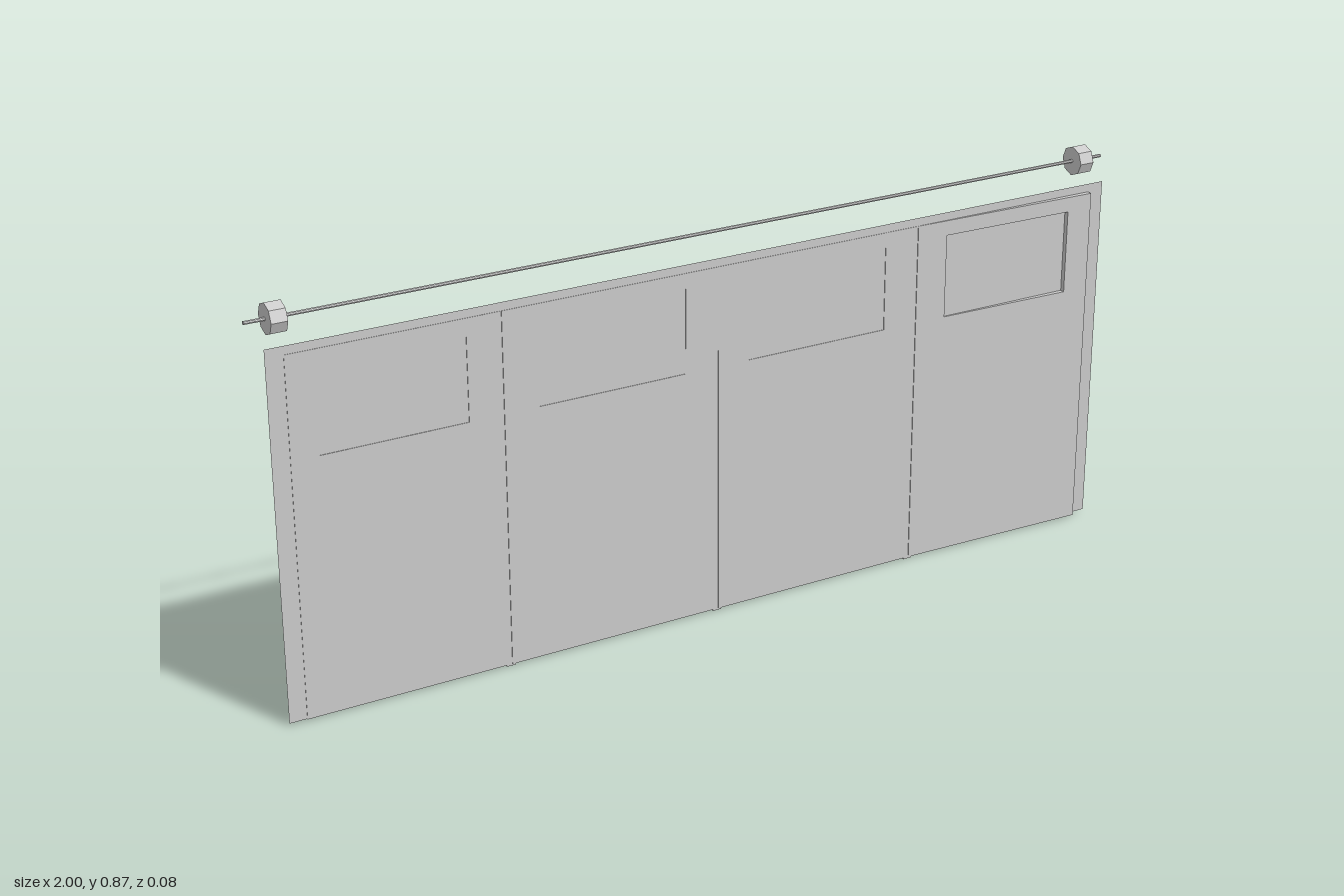
import * as THREE from 'three';

const mat = new THREE.MeshStandardMaterial({ color: 0xcccccc, flatShading: true, side: THREE.DoubleSide });
const BACK = 0.028, FRONT = 0.031, SWING = 0.011;
const TOP = 0.778, BOTTOM = 0.004, EDGE = 0.94;

function add(parent, name, geometry, x = 0, y = 0, z = 0) {
  const mesh = new THREE.Mesh(geometry, mat);
  mesh.name = name;
  mesh.position.set(x, y, z);
  parent.add(mesh);
  return mesh;
}

// box given by its limits
function slab(parent, name, x0, x1, y0, y1, z0, z1) {
  return add(parent, name, new THREE.BoxGeometry(x1 - x0, y1 - y0, z1 - z0),
    (x0 + x1) / 2, (y0 + y1) / 2, (z0 + z1) / 2);
}

function trace(path, x0, y0, x1, y1) {
  path.moveTo(x0, y0);
  path.lineTo(x1, y0);
  path.lineTo(x1, y1);
  path.lineTo(x0, y1);
  path.closePath();
  return path;
}

// rectangle with a rectangular opening
function ring(outer, inner) {
  const shape = trace(new THREE.Shape(), ...outer);
  shape.holes.push(trace(new THREE.Path(), ...inner));
  return shape;
}

export function createModel() {
  const root = new THREE.Group();
  root.name = 'sectionalDoor';

  // paper-thin surround
  add(root, 'surround', new THREE.ShapeGeometry(
    ring([-0.978, 0.005, 0.978, 0.796], [-EDGE, 0.006, EDGE, TOP])), 0, 0, 0.03);

  // four door panels with window openings; the last one leans forward at its outer edge
  const seams = [-EDGE, -0.49, 0, 0.49, EDGE];
  const windows = [[-0.88, -0.565], [-0.41, -0.075], [0.075, 0.41], [0.565, 0.88]];
  windows.forEach(([w0, w1], i) => {
    const x0 = seams[i] + (i ? 0.002 : 0), x1 = seams[i + 1] - (i < 3 ? 0.002 : 0);
    const geo = new THREE.ExtrudeGeometry(
      ring([x0, BOTTOM, x1, TOP], [w0, 0.56, w1, 0.745]),
      { depth: FRONT - BACK, bevelEnabled: false });
    geo.translate(0, 0, BACK);
    if (i === 3) {
      const p = geo.attributes.position;
      for (let v = 0; v < p.count; v++) {
        if (p.getZ(v) > BACK + 0.001) p.setZ(v, p.getZ(v) + SWING * (p.getX(v) - x0) / (x1 - x0));
      }
      geo.computeVertexNormals();
    }
    add(root, 'doorPanel', geo);
    slab(root, 'windowPane', w0, w1, 0.56, 0.745, 0.0287, 0.0297);
  });

  // upright ribs, which also back the seams
  for (const x of [-0.49, 0, 0.49]) slab(root, 'uprightRib', x - 0.01, x + 0.01, 0, TOP, 0.0255, 0.0295);
  for (const s of [-1, 1]) {
    slab(root, 'sideRib', s * 0.933 - 0.007, s * 0.933 + 0.007, BOTTOM, TOP, 0.0258, BACK);
  }

  // horizontal rails on the back
  const rails = [[0.76, TOP], [0.527, 0.548], [0.487, 0.52], [0.272, 0.298], [0.232, 0.264], [BOTTOM, 0.016], [0.05, 0.062]];
  for (const [y0, y1] of rails) slab(root, 'backRail', -EDGE, EDGE, y0, y1, 0.0252, BACK);

  // overhead shaft and cable drums
  const shaft = add(root, 'shaft', new THREE.CylinderGeometry(0.004, 0.004, 2, 8), 0, 0.84, -0.01);
  shaft.rotation.z = Math.PI / 2;
  for (const s of [-1, 1]) {
    const drum = add(root, 'cableDrum', new THREE.CylinderGeometry(0.0325, 0.0325, 0.034, 8), s * 0.94, 0.84, -0.01);
    drum.rotation.z = Math.PI / 2;
  }
  return root;
}
